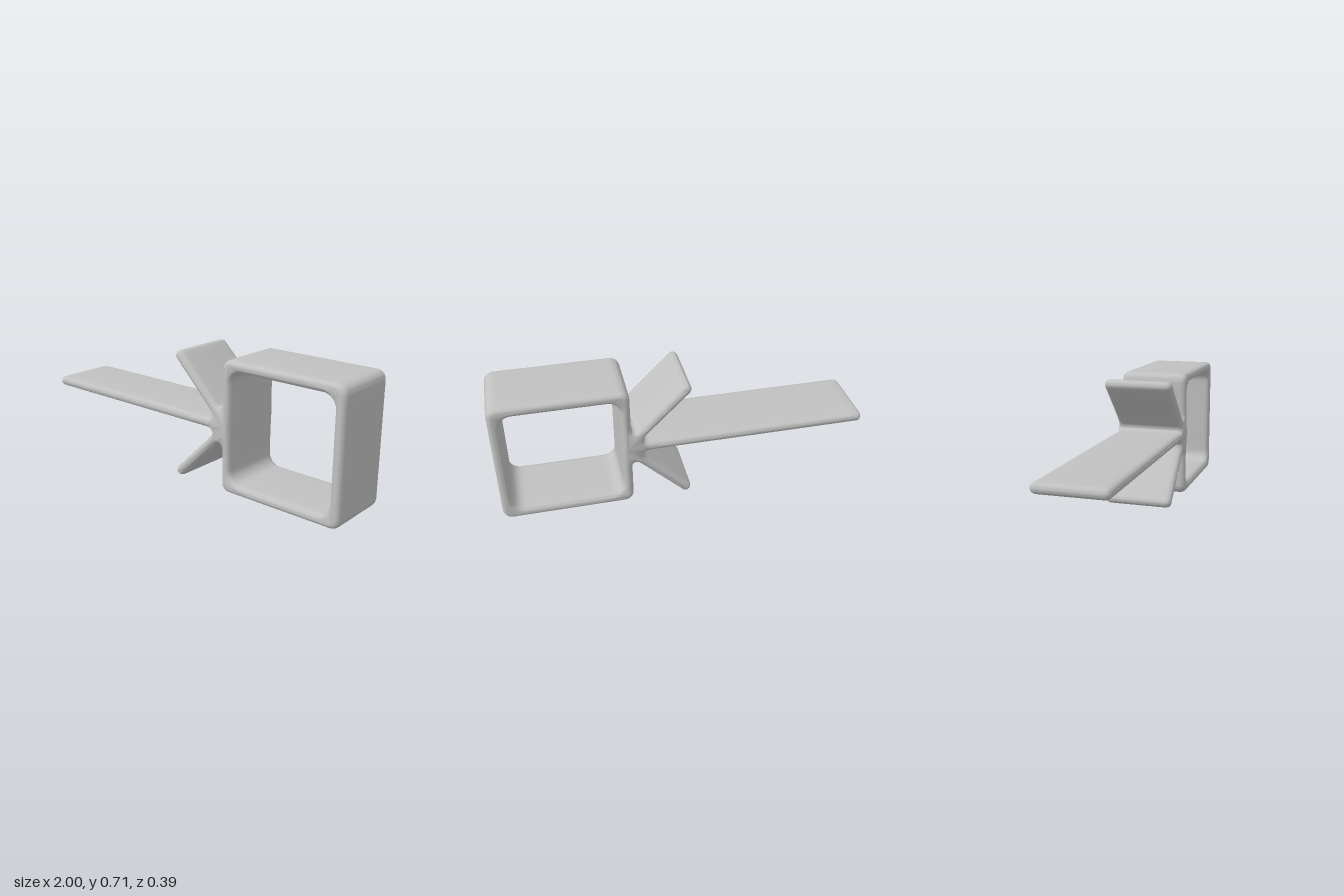
import * as THREE from 'three';
import { toCreasedNormals } from 'three/addons/utils/BufferGeometryUtils.js';

const MID = 0.355; // height of the mirror line

// Closed outline from corners [x, y, rounding], with long edges subdivided
function roundedOutline(corners, step = 0.04) {
  const pts = [];
  const n = corners.length;
  const at = (i) => new THREE.Vector2(corners[(i + n) % n][0], corners[(i + n) % n][1]);
  for (let i = 0; i < n; i++) {
    const p = at(i);
    const r = corners[i][2];
    const a = at(i - 1).sub(p).normalize().multiplyScalar(r).add(p);
    const b = at(i + 1).sub(p).normalize().multiplyScalar(r).add(p);
    const curve = new THREE.CubicBezierCurve(a, a.clone().lerp(p, 0.552), b.clone().lerp(p, 0.552), b);
    pts.push(...curve.getPoints(8));
  }
  const out = [];
  pts.forEach((p, i) => {
    const q = pts[(i + 1) % pts.length];
    const d = p.distanceTo(q);
    if (d < 1e-4) return;
    const k = Math.ceil(d / step);
    for (let j = 0; j < k; j++) out.push(p.clone().lerp(q, j / k));
  });
  return out;
}

export function createModel() {
  const group = new THREE.Group();
  const grey = new THREE.MeshStandardMaterial({ color: 0xc0c0c0 });
  grey.name = 'light grey';

  // Upper half: box frame, slanted vane, long blade; the lower half mirrors it
  const upper = [
    [1, 0.71, 0.05],
    [0.29, 0.71, 0.05],
    [0.29, 0.425, 0.06],
    [-0.002, 0.717, 0.028],
    [-0.042, 0.677, 0.028],
    [0.253, 0.383, 0.06],
    [-1, 0.383, 0.0275],
  ];
  const lower = upper.map(([x, y, r]) => [x, 2 * MID - y, r]).reverse();
  const shape = new THREE.Shape(roundedOutline([...upper, ...lower]));

  // Square opening in the frame
  const opening = [[0.342, 0.058, 0.065], [0.342, 0.652, 0.065], [0.942, 0.652, 0.065], [0.942, 0.058, 0.065]];
  shape.holes.push(new THREE.Path(roundedOutline(opening)));

  const bevel = 0.035;
  const depth = 0.38 - 2 * bevel;
  const geometry = new THREE.ExtrudeGeometry(shape, {
    depth, steps: 1, bevelEnabled: true, bevelThickness: bevel,
    bevelSize: 0.023, bevelOffset: -0.023, bevelSegments: 5,
  });
  geometry.translate(0, 0, -depth / 2);

  // Slight swelling where the vanes and blade meet the frame
  const pos = geometry.attributes.position;
  for (let i = 0; i < pos.count; i++) {
    const dx = (pos.getX(i) - 0.275) / 0.06;
    const dy = (pos.getY(i) - MID) / 0.075;
    pos.setZ(i, pos.getZ(i) * (1 + 0.05 * Math.exp(-dx * dx - dy * dy)));
  }

  const body = new THREE.Mesh(toCreasedNormals(geometry, 0.9), grey);
  body.name = 'frameWithVanesAndBlade';
  group.add(body);
  return group;
}
